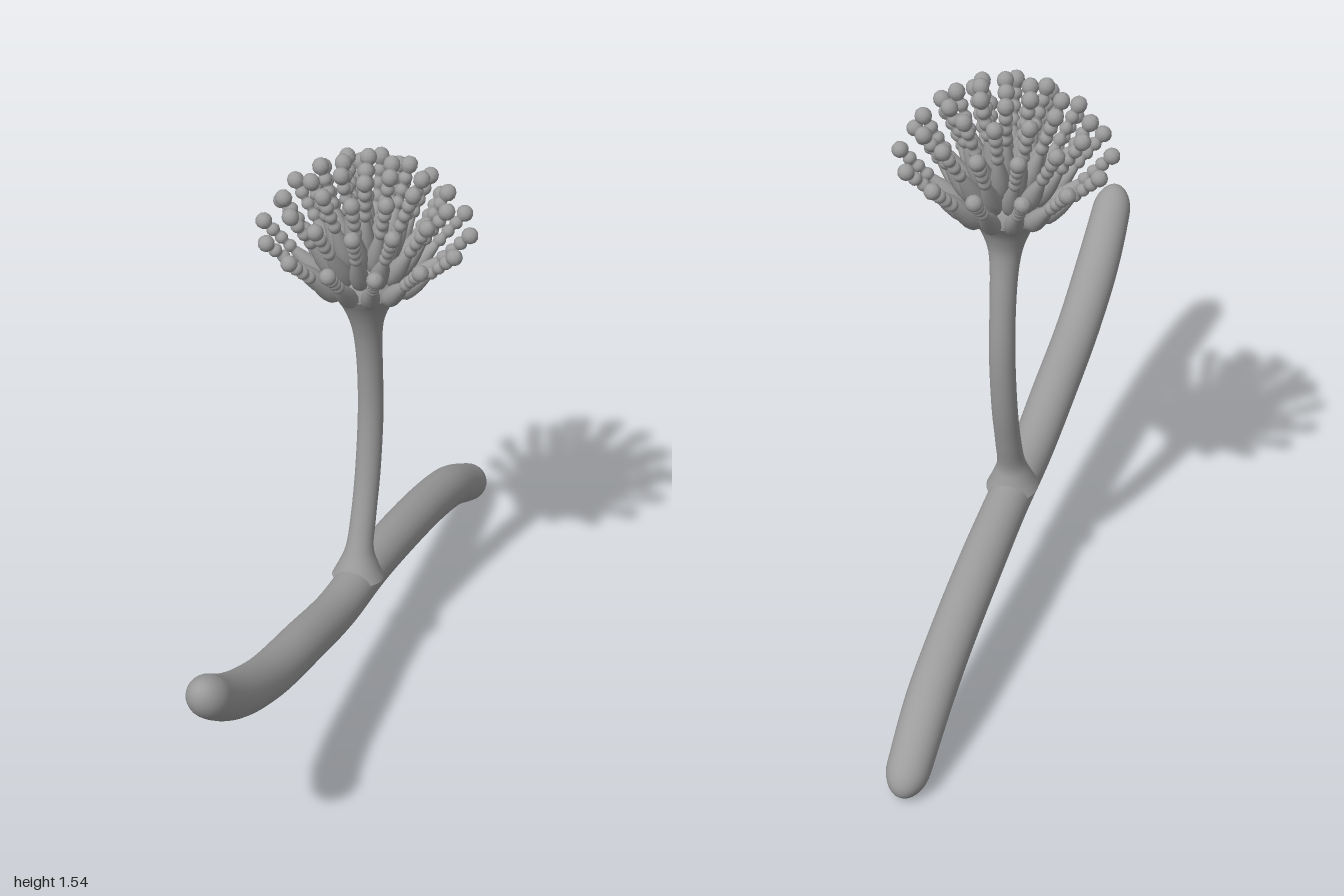
import * as THREE from 'three';

const grey = new THREE.MeshStandardMaterial({ color: 0x9c9c9c });
grey.name = 'grey';

// Round tube in the yz plane through points [z, y, radius], with optional domed ends.
function sweep(name, points, steps, sides, domed) {
  // The radius rides along as the x coordinate of the curve.
  const curve = new THREE.CatmullRomCurve3(points.map(([z, y, r]) => new THREE.Vector3(r, y, z)), false, 'centripetal');
  const length = curve.getLength();
  const cap = 0.075;
  const positions = [];
  const index = [];
  for (let i = 0; i <= steps; i++) {
    const t = 0.5 - 0.5 * Math.cos(Math.PI * i / steps);
    const p = curve.getPointAt(t);
    const tan = curve.getTangentAt(t).setX(0).normalize();
    let r = p.x;
    if (domed) {
      const d = Math.min(1, Math.min(t, 1 - t) * length / cap);
      r *= Math.sqrt(Math.max(0, 1 - (1 - d) ** 2));
    }
    for (let j = 0; j < sides; j++) {
      const a = 2 * Math.PI * j / sides;
      const s = Math.sin(a) * r;
      positions.push(Math.cos(a) * r, p.y + tan.z * s, p.z - tan.y * s);
      if (i === steps) continue;
      const k = (j + 1) % sides;
      const a0 = i * sides + j, b0 = i * sides + k;
      index.push(a0, b0, a0 + sides, b0, b0 + sides, a0 + sides);
    }
  }
  const geometry = new THREE.BufferGeometry();
  geometry.setAttribute('position', new THREE.Float32BufferAttribute(positions, 3));
  geometry.setIndex(index);
  geometry.computeVertexNormals();
  const mesh = new THREE.Mesh(geometry, grey);
  mesh.name = name;
  return mesh;
}

// One spore chain along +y: a club, then small beads, then a round tip.
function chainGeometry() {
  const profile = [[0, -0.012], [0.015, -0.008], [0.023, 0.008], [0.025, 0.03], [0.023, 0.06],
    [0.017, 0.09], [0.012, 0.112]];
  for (const [centre, radius, half] of [[0.127, 0.017, 0.017], [0.159, 0.017, 0.017], [0.19, 0.018, 0.017], [0.224, 0.022, 0.022]]) {
    const last = centre > 0.2;
    for (let i = 1; i <= 6; i++) {
      const a = Math.PI * (last ? i / 6 : 0.1 + 0.8 * i / 7);
      profile.push([Math.max(0, radius * Math.sin(a)), centre - half * Math.cos(a)]);
    }
  }
  return new THREE.LatheGeometry(profile.map(([x, y]) => new THREE.Vector2(x, y)), 12);
}

export function createModel() {
  const model = new THREE.Group();
  model.name = 'sporeStalk';

  // Long wavy filament at the foot
  model.add(sweep('filament', [
    [0.995, 0.685, 0.05], [0.93, 0.62, 0.055], [0.8, 0.53, 0.06], [0.6, 0.44, 0.06], [0.35, 0.375, 0.06],
    [0.12, 0.322, 0.058], [-0.1, 0.303, 0.058], [-0.35, 0.265, 0.06], [-0.6, 0.21, 0.06],
    [-0.77, 0.155, 0.06], [-0.92, 0.075, 0.056], [-0.997, 0.032, 0.052],
  ], 80, 28, true));

  // Bent upright stalk, flared at both ends
  model.add(sweep('stalk', [
    [-0.04, 0.33, 0.07], [-0.045, 0.37, 0.052], [-0.052, 0.41, 0.038], [-0.08, 0.5, 0.034], [-0.11, 0.62, 0.034],
    [-0.13, 0.8, 0.034], [-0.122, 0.95, 0.034], [-0.108, 1.05, 0.038], [-0.1, 1.1, 0.046],
    [-0.096, 1.15, 0.065], [-0.095, 1.18, 0.083], [-0.095, 1.205, 0.1],
  ], 60, 28, false));

  // Domed head on the stalk
  const head = new THREE.Group();
  head.name = 'head';
  head.position.set(0, 1.2, -0.095);
  model.add(head);
  const dome = new THREE.Mesh(new THREE.SphereGeometry(0.1, 28, 10, 0, 2 * Math.PI, 0, Math.PI / 2), grey);
  dome.name = 'dome';
  head.add(dome);

  // Rings of spore chains: count, base radius, base height, tip radius, tip height, turn
  const rings = [
    [14, 0.108, 0.012, 0.262, 0.165, 0],
    [13, 0.084, 0.05, 0.208, 0.245, 0.2],
    [10, 0.055, 0.08, 0.138, 0.3, 0.1],
    [6, 0.026, 0.1, 0.07, 0.33, 0.3],
    [1, 0, 0.105, 0.005, 0.33, 0],
  ];
  const geometry = chainGeometry();
  const up = new THREE.Vector3(0, 1, 0);
  for (const [count, r0, y0, r1, y1, turn] of rings) {
    for (let i = 0; i < count; i++) {
      const a = turn + 2 * Math.PI * i / count;
      const base = new THREE.Vector3(Math.sin(a) * r0, y0, Math.cos(a) * r0);
      const along = new THREE.Vector3(Math.sin(a) * r1, y1, Math.cos(a) * r1).sub(base);
      const chain = new THREE.Mesh(geometry, grey);
      chain.name = 'sporeChain';
      chain.position.copy(base);
      chain.scale.y = along.length() / 0.224;
      chain.quaternion.setFromUnitVectors(up, along.normalize());
      head.add(chain);
    }
  }
  return model;
}
